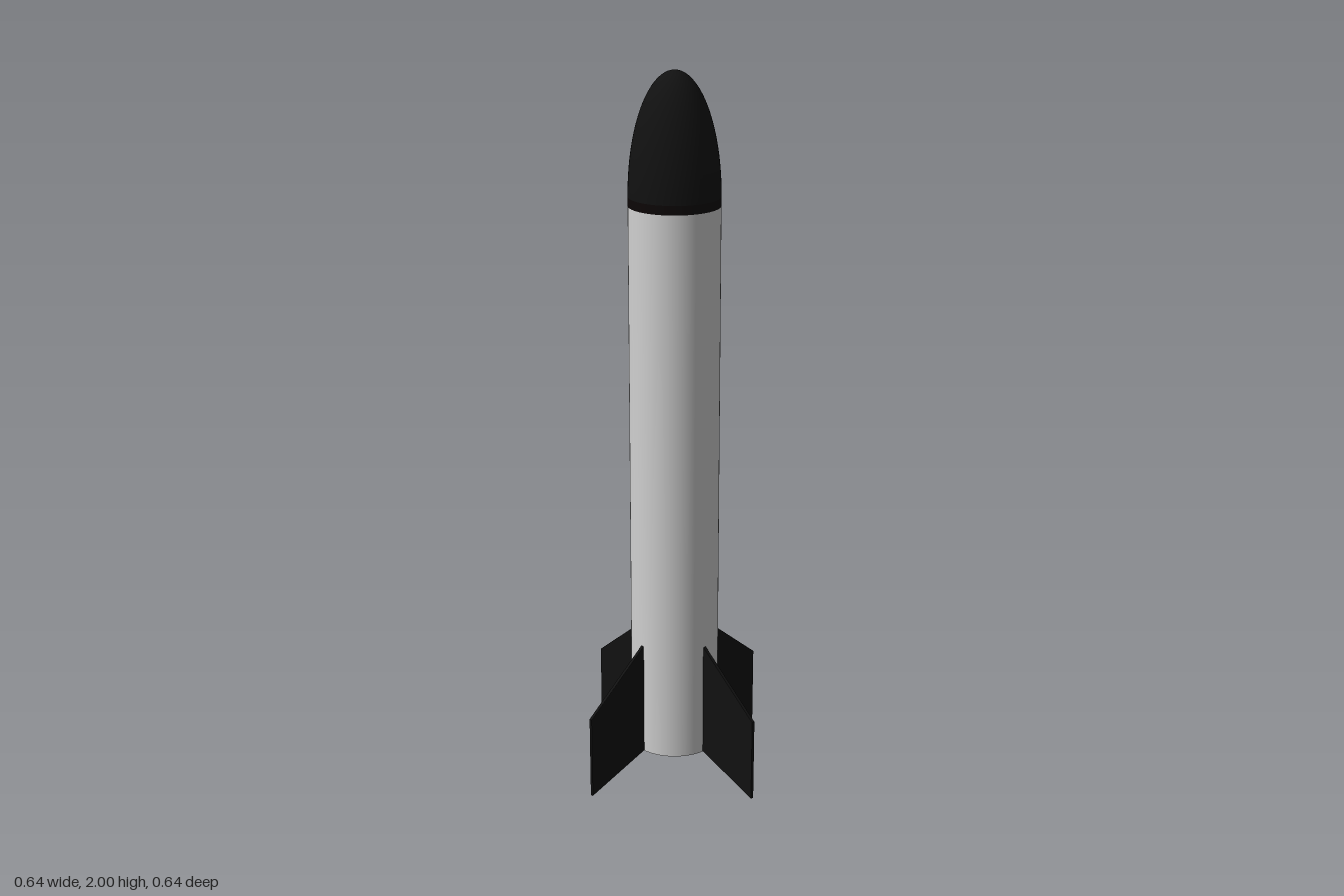
import * as THREE from 'three';

const SEG = 64;
const R = 0.124; // outer body radius

export function createModel() {
  const group = new THREE.Group();
  const mat = (name, color, side = THREE.FrontSide) => {
    const m = new THREE.MeshStandardMaterial({ color, side });
    m.name = name;
    return m;
  };
  const grey = mat('light grey', 0xd0d0d0, THREE.DoubleSide);
  const black = mat('black', 0x111111);
  const darkBand = mat('dark band', 0x0c0606);

  const add = (name, geometry, material, y = 0) => {
    const mesh = new THREE.Mesh(geometry, material);
    mesh.name = name;
    mesh.position.y = y;
    group.add(mesh);
    return mesh;
  };

  // Body: hollow tube, open at the bottom, with a thin wall
  const bottom = 0.073, top = 1.645, inner = R - 0.004;
  const tube = (r) => new THREE.CylinderGeometry(r, r, top - bottom, SEG, 1, true);
  add('bodyTube', tube(R), grey, (top + bottom) / 2);
  add('innerTube', tube(inner), grey, (top + bottom) / 2);
  const rim = new THREE.RingGeometry(inner, R, SEG);
  rim.rotateX(Math.PI / 2);
  add('bottomRim', rim, grey, bottom);

  // Nose: short straight collar, then a half ellipse
  const shoulder = 1.67;
  add('noseCollar', new THREE.CylinderGeometry(R, R, shoulder - top, SEG), darkBand, (top + shoulder) / 2);
  const profile = [];
  for (let i = 0; i <= 32; i++) {
    const a = (i / 32) * Math.PI / 2;
    profile.push(new THREE.Vector2(i === 32 ? 0 : R * Math.cos(a), (2 - shoulder) * Math.sin(a)));
  }
  add('noseCone', new THREE.LatheGeometry(profile, SEG), black, shoulder);

  // Fins: four swept plates with softened edges, set slightly through the wall
  const bevel = 0.002, depth = 0.006;
  const shape = new THREE.Shape();
  shape.moveTo(0.114, 0.078);
  shape.lineTo(0.318, 0.004);
  shape.lineTo(0.318, 0.24);
  shape.lineTo(0.114, 0.409);
  shape.closePath();
  const finGeometry = new THREE.ExtrudeGeometry(shape, {
    depth, bevelEnabled: true, bevelSize: bevel, bevelThickness: bevel, bevelSegments: 2,
  });
  finGeometry.translate(0, 0, -depth / 2);
  ['leftFin', 'backFin', 'rightFin', 'frontFin'].forEach((name, i) => {
    add(name, finGeometry, black).rotation.y = i * Math.PI / 2;
  });

  return group;
}
